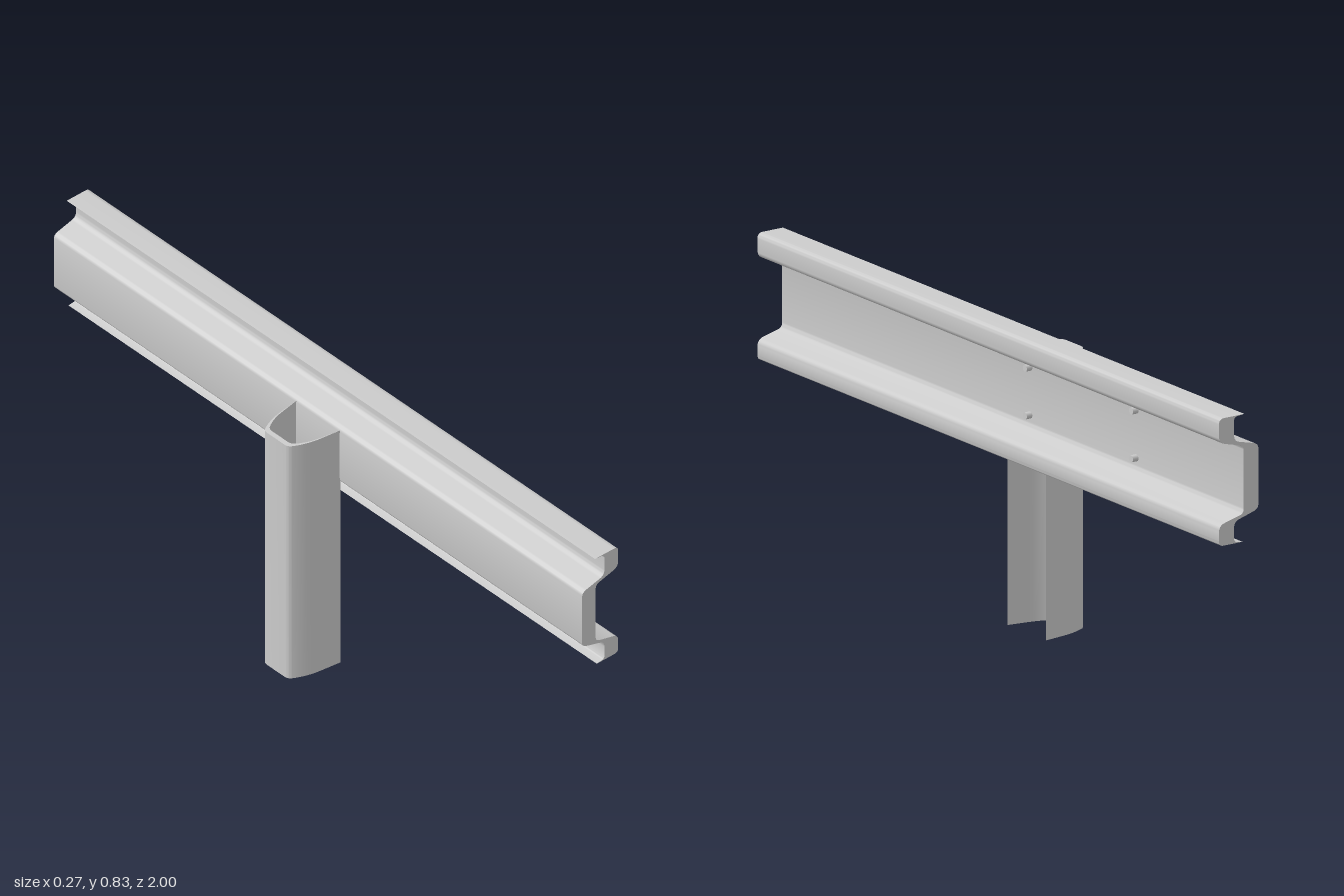
import * as THREE from 'three';
import { toCreasedNormals } from 'three/addons/utils/BufferGeometryUtils.js';

// Closed shape through corners [x, y, cut]; cut is the length trimmed for rounding.
function roundedShape(corners) {
  const shape = new THREE.Shape();
  const n = corners.length;
  const pts = corners.map(([x, y]) => new THREE.Vector2(x, y));
  const toward = (a, b, d) => a.clone().add(b.clone().sub(a).setLength(d));
  pts.forEach((p, i) => {
    const cut = corners[i][2] || 0;
    const a = cut ? toward(p, pts[(i + n - 1) % n], cut) : p;
    if (i === 0) shape.moveTo(a.x, a.y);
    else shape.lineTo(a.x, a.y);
    if (cut) {
      const b = toward(p, pts[(i + 1) % n], cut);
      shape.quadraticCurveTo(p.x, p.y, b.x, b.y);
    }
  });
  shape.closePath();
  return shape;
}

function extrude(corners, depth) {
  return new THREE.ExtrudeGeometry(roundedShape(corners), { depth, bevelEnabled: false, curveSegments: 6 });
}

export function createModel() {
  const group = new THREE.Group();
  group.name = 'guardRail';
  const material = new THREE.MeshStandardMaterial({ color: 0xcccccc, side: THREE.DoubleSide });
  const add = (name, geometry) => {
    const mesh = new THREE.Mesh(geometry, material);
    mesh.name = name;
    group.add(mesh);
    return mesh;
  };

  // Corrugated rail: road-side outline downwards, then back-side outline upwards
  const rail = extrude([
    [0.053, 0.832], [0.132, 0.832, 0.015], [0.132, 0.768, 0.018], [0.055, 0.748, 0.014],
    [0.055, 0.569, 0.014], [0.132, 0.55, 0.018], [0.132, 0.495, 0.014], [0.059, 0.495],
    [0.085, 0.498, 0.01], [0.085, 0.552, 0.016], [0.009, 0.574, 0.015],
    [0.009, 0.746, 0.015], [0.085, 0.765, 0.016], [0.085, 0.829, 0.01],
  ], 2).translate(0, 0, -1);
  add('rail', toCreasedNormals(rail, 0.6));

  // Channel post, open toward the rail, with flanges tapering to thin edges
  const post = extrude([
    [0.012, 0.083], [-0.09, 0.07, 0.04], [-0.134, 0.045, 0.012],
    [-0.134, -0.045, 0.012], [-0.09, -0.07, 0.04], [0.012, -0.083],
    [-0.085, -0.066, 0.035], [-0.12, -0.042, 0.012],
    [-0.12, 0.042, 0.012], [-0.085, 0.066, 0.035],
  ], 0.74).rotateX(-Math.PI / 2);
  add('post', toCreasedNormals(post, 0.6));

  // Bolts in two vertical pairs
  const boltGeometry = new THREE.CylinderGeometry(0.009, 0.009, 0.022, 16).rotateZ(-Math.PI / 2);
  for (const z of [-0.075, -0.535]) {
    for (const y of [0.602, 0.728]) add('bolt', boltGeometry).position.set(0.061, y, z);
  }
  return group;
}
